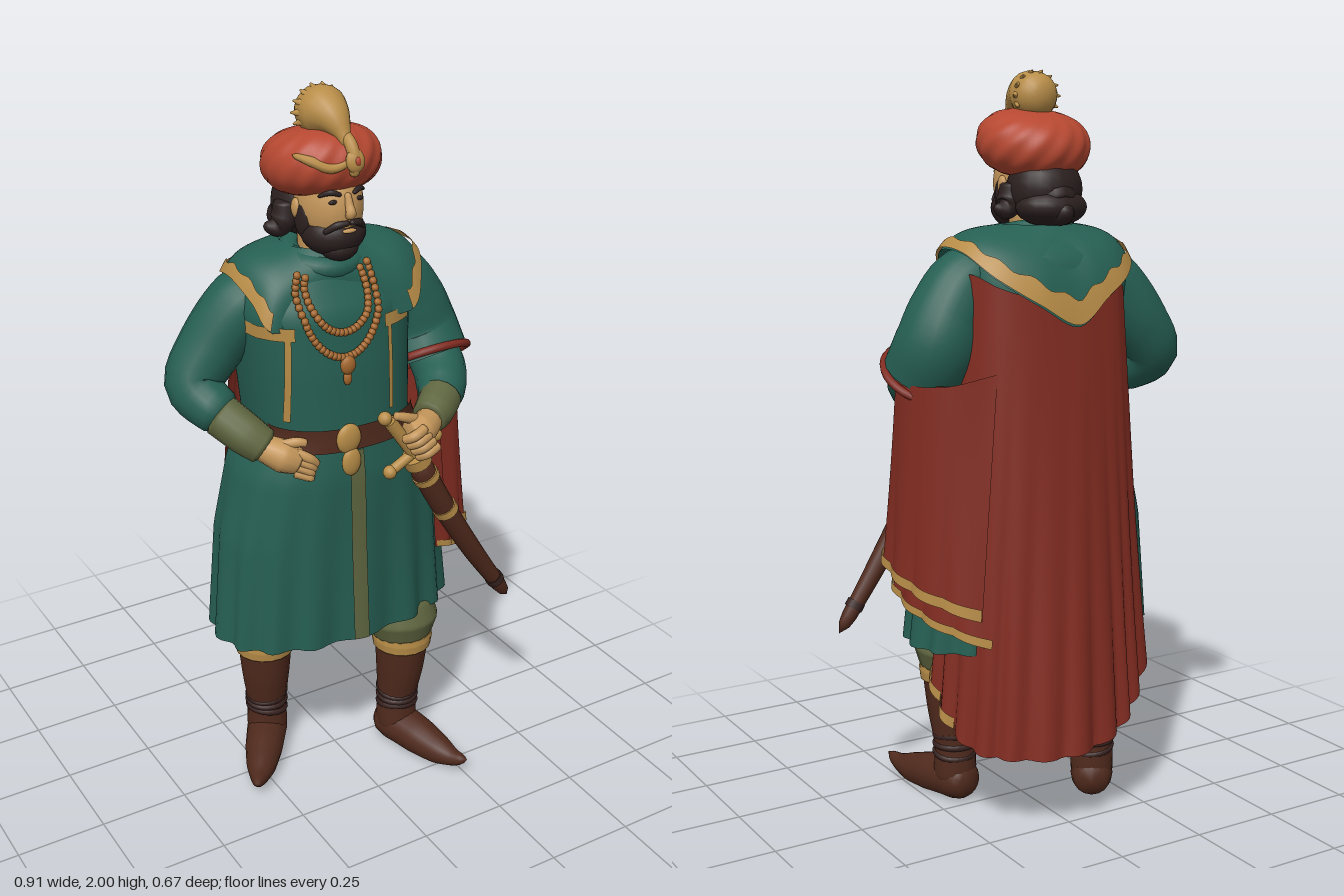
import * as THREE from 'three';
import { mergeVertices } from 'three/addons/utils/BufferGeometryUtils.js';

const V = (x, y, z) => new THREE.Vector3(x, y, z);
const paint = (name, color, side = THREE.FrontSide) => {
  const m = new THREE.MeshStandardMaterial({ color, side });
  m.name = name;
  return m;
};

export function createModel() {
  const D = THREE.DoubleSide;
  const teal = paint('teal cloth', 0x265f53, D), red = paint('red cloth', 0x822c21, D);
  const coral = paint('turban cloth', 0xb64831), gold = paint('gold trim', 0xb88d48, D);
  const skin = paint('skin', 0xc4965a), hair = paint('hair', 0x2c2020);
  const leather = paint('brown leather', 0x502a1d), dark = paint('dark leather', 0x382320, D);
  const olive = paint('olive cloth', 0x5f6640, D), amber = paint('amber beads', 0xa5682e);

  const root = new THREE.Group();
  root.name = 'robedSwordsman';
  let target = root;
  const add = (name, geo, mat) => {
    const m = new THREE.Mesh(geo, mat);
    m.name = name;
    target.add(m);
    return m;
  };
  const inGroup = (name, build) => {
    const g = new THREE.Group(), old = target;
    g.name = name;
    old.add(g);
    target = g;
    build(g);
    target = old;
  };
  const weld = g => {
    g.deleteAttribute('normal');
    g.deleteAttribute('uv');
    g = mergeVertices(g, 1e-5);
    g.computeVertexNormals();
    return g;
  };
  // surface from a rule f(u, v), v running downwards
  const sheet = (name, mat, nu, nv, f) => {
    const g = new THREE.PlaneGeometry(1, 1, nu, nv), p = g.attributes.position;
    for (let i = 0; i < p.count; i++) {
      const q = f((i % (nu + 1)) / nu, Math.floor(i / (nu + 1)) / nv);
      p.setXYZ(i, q.x, q.y, q.z);
    }
    return add(name, weld(g), mat);
  };
  // tube with a radius at each path point [x, y, z, r]
  const limb = (name, mat, pts, open = false, sides = 14, floor = -9) => {
    const curve = new THREE.CatmullRomCurve3(pts.map(p => V(p[0], p[1], p[2]))), n = 24;
    const g = new THREE.TubeGeometry(curve, n, 1, sides), p = g.attributes.position, q = V();
    for (let i = 0; i < p.count; i++) {
      const k = Math.floor(i / (sides + 1)), c = curve.getPointAt(k / n);
      const t = curve.getUtoTmapping(k / n) * (pts.length - 1);
      const a = Math.min(Math.floor(t), pts.length - 2);
      let r = THREE.MathUtils.lerp(pts[a][3], pts[a + 1][3], t - a);
      if (!open) r *= k % n === 0 ? 0 : (k === 1 || k === n - 1 ? 0.82 : 1);
      q.fromBufferAttribute(p, i).sub(c).multiplyScalar(r).add(c);
      p.setXYZ(i, q.x, Math.max(q.y, floor), q.z);
    }
    return add(name, weld(g), mat);
  };
  const ball = (name, mat, x, y, z, rx, ry = rx, rz = rx, seg = 18) => {
    const m = add(name, new THREE.SphereGeometry(1, seg, Math.ceil(seg * 0.7)), mat);
    m.position.set(x, y, z);
    m.scale.set(rx, ry, rz);
    return m;
  };
  const rod = (name, mat, a, b, r, r2 = r) => {
    const d = V(...b).sub(V(...a));
    const m = add(name, new THREE.CylinderGeometry(r2, r, d.length(), 14), mat);
    m.position.set(...a).addScaledVector(d, 0.5);
    m.quaternion.setFromUnitVectors(V(0, 1, 0), d.normalize());
  };

  // robe sections: y, centre x, centre z, half width, half depth
  const rings = [[1.6, -.045, 0, .085, .09], [1.56, -.04, -.02, .165, .13], [1.52, -.04, -.03, .225, .16],
    [1.45, -.04, -.02, .245, .19], [1.3, -.035, -.012, .23, .196], [1.12, -.025, -.01, .22, .2],
    [1.0, -.02, -.005, .28, .204], [.8, -.018, -.01, .323, .203], [.49, -.012, -.01, .352, .2]];
  const section = y => {
    let i = 0;
    while (i < rings.length - 2 && rings[i + 1][0] > y) i++;
    const a = rings[i], b = rings[i + 1], t = (a[0] - y) / (a[0] - b[0]);
    return a.map((v, k) => v + (b[k] - v) * t);
  };
  const square = .85;
  const bulge = (s, e = square) => Math.sign(s) * Math.abs(s) ** e;
  const body = (th, y, off = 0) => {
    const [, cx, cz, rx, rz] = section(y);
    const o = off + Math.max(0, 1.05 - y) * 0.018 * Math.cos(16 * th);
    return V(cx + (rx + o) * bulge(Math.sin(th)), y, cz + (rz + o) * bulge(Math.cos(th)));
  };
  const front = (x, y, off) => {
    const s = section(y);
    return body(Math.asin(bulge(THREE.MathUtils.clamp((x - s[1]) / s[3], -1, 1), 1 / square)), y, off);
  };
  const TAU = Math.PI * 2;
  inGroup('robe', () => {
    sheet('robeBody', teal, 96, 44, (u, v) => body(u * TAU, 1.6 - v * 1.11));
    sheet('robeUnderside', teal, 96, 2, (u, v) => body(u * TAU, .49 + v * .04).lerp(V(0, .53, 0), v));
    sheet('belt', leather, 32, 3, (u, v) => body((u - .5) * 2.5, 1.15 - v * .065, .012 * Math.sin(Math.PI * u) ** .3));
    const stripe = (name, mat, x0, y0, x1, y1, w) => sheet(name, mat, 4, 20, (u, v) =>
      front(x0 + (x1 - x0) * v + (u - .5) * w, y0 + (y1 - y0) * v, .007));
    stripe('skirtStripe', olive, -.05, 1.08, -.03, .495, .042);
    for (const s of [-1, 1]) {
      stripe('chestStripe', gold, -.075 + s * .135, 1.41, -.075 + s * .135, 1.17, .013);
      stripe('lapelBar', gold, -.075 + s * .165, 1.43, -.075 + s * .165, 1.395, .09);
    }
    const cowl = add('neckRoll', new THREE.TorusGeometry(.085, .03, 10, 28), teal);
    cowl.position.set(-.05, 1.57, .02);
    cowl.rotation.x = Math.PI / 2 + .2;
    ball('buckle', gold, -.075, 1.12, .2, .036, .042, .016);
    ball('buckleDrop', gold, -.07, 1.055, .206, .028, .04, .014);
  });

  // shoulder mantle with its gold border
  const edge = new THREE.CatmullRomCurve3([[.13, 1.42, .165], [.18, 1.49, .125], [.22, 1.535, .04], [.22, 1.53, -.08],
    [.18, 1.47, -.175], [.08, 1.4, -.23], [-.03, 1.345, -.24], [-.12, 1.41, -.23], [-.2, 1.46, -.2], [-.265, 1.505, -.12],
    [-.28, 1.52, -.03], [-.27, 1.48, .06], [-.25, 1.42, .12], [-.07, 1.45, .11]].map(p => V(...p)), true);
  const mantle = (u, t, off = 0) => {
    const e = edge.getPoint(u), th = Math.atan2(e.x + .045, e.z + .02), b = Math.sin(Math.PI * t);
    const p = V(-.045 + .1 * Math.sin(th), 1.6, -.01 + .1 * Math.cos(th)).lerp(e, t);
    const push = .025 * b + off;
    return p.add(V(Math.sin(th) * push, .015 * b + off, Math.cos(th) * push));
  };
  inGroup('mantle', () => {
    sheet('mantleCloth', teal, 84, 10, (u, v) => mantle(u, v));
    sheet('mantleBorder', gold, 96, 4, (u, v) => mantle(u * 12 / 14, .77 + .03 * Math.sin(u * 90) * (1 - v) + v * .23, .006));
  });

  // hanging cloth between a top and a bottom line, u up to u1
  const hang = (name, mat, top, bottom, folds, depth, v0 = 0, v1 = 1, off = 0, u1 = 1) => {
    const a = new THREE.CatmullRomCurve3(top.map(p => V(...p))), b = new THREE.CatmullRomCurve3(bottom.map(p => V(...p)));
    return sheet(name, mat, 80, 20, (s, v) => {
      const u = s * u1, t = v0 + (v1 - v0) * v, p = a.getPoint(u).lerp(b.getPoint(u), t);
      const d = V(p.x, 0, p.z + .02).normalize();
      return p.addScaledVector(d, off + depth * t * t * Math.abs(Math.sin(u * Math.PI * folds)));
    });
  };
  inGroup('cape', () => {
    const capeTop = [[.22, 1.46, -.02], [.21, 1.48, -.1], [.17, 1.45, -.17], [.09, 1.42, -.208], [-.03, 1.38, -.222], [-.11, 1.43, -.215], [-.17, 1.45, -.205], [-.2, 1.44, -.19]];
    const capeHem = [[.27, .4, .01], [.28, .3, -.09], [.25, .235, -.18], [.17, .22, -.26], [.03, .22, -.31], [-.12, .25, -.285], [-.2, .32, -.25], [-.285, .42, -.185]];
    hang('capeBack', red, capeTop, capeHem, 11, .022);
    hang('capeLining', dark, capeTop, capeHem, 11, .022, .6, .985, -.012);
    hang('capeHem', gold, capeTop, capeHem, 11, .022, .975, 1, .006, .2);
    const top = [[.26, 1.2, .1], [.34, 1.22, .07], [.36, 1.2, -.02], [.3, 1.2, -.12], [.18, 1.23, -.18]];
    const hem = [[.28, .74, .14], [.355, .71, .11], [.37, .67, 0], [.33, .63, -.11], [.24, .59, -.2]];
    const inner = top.map(([x, y, z]) => [x - .03, y, z]), lower = hem.map(([x, y, z]) => [x - .025, y - .075, z - .01]);
    hang('sleeveDrape', red, top, hem, 5, .012);
    hang('sleeveDrapeHem', gold, top, hem, 5, .012, .95, 1.0, .006);
    hang('innerDrape', red, inner, lower, 5, .012);
    hang('innerDrapeHem', gold, inner, lower, 5, .012, .965, 1, .006);
  });

  // arms
  inGroup('rightArm', () => {
    limb('sleeve', teal, [[-.15, 1.485, -.04, .085], [-.24, 1.44, -.055, .093], [-.328, 1.33, -.075, .086], [-.382, 1.24, -.065, .077], [-.335, 1.165, .04, .058]], false, 18);
    limb('cuff', olive, [[-.355, 1.185, .01, .058], [-.305, 1.135, .075, .055], [-.265, 1.1, .11, .048]]);
    limb('palm', skin, [[-.285, 1.11, .1, .034], [-.235, 1.085, .14, .045], [-.195, 1.065, .155, .035]]);
    for (let i = 0; i < 4; i++)
      limb('finger', skin, [[-.215, 1.1 - i * .02, .16, .014], [-.18, 1.08 - i * .018, .18, .014], [-.155 - i * .008, 1.055 - i * .012, .178, .011]], false, 8);
    limb('thumb', skin, [[-.25, 1.11, .13, .016], [-.205, 1.125, .16, .014], [-.18, 1.12, .17, .011]], false, 8);
  });
  inGroup('leftArm', () => {
    limb('wideSleeve', teal, [[.08, 1.48, -.02, .085], [.175, 1.45, -.01, .095], [.23, 1.37, -.01, .106], [.258, 1.29, -.005, .115], [.268, 1.215, .035, .117]], true, 20);
    const trim = add('sleeveTrim', new THREE.TorusGeometry(.117, .011, 8, 32), red);
    trim.position.set(.268, 1.215, .035);
    trim.quaternion.setFromUnitVectors(V(0, 0, 1), V(0, -.83, .56).normalize());
    limb('forearm', teal, [[.28, 1.27, -.01, .07], [.285, 1.2, .07, .074], [.25, 1.165, .14, .067], [.2, 1.145, .19, .05]], false, 16);
    limb('cuff', olive, [[.235, 1.16, .165, .057], [.185, 1.14, .205, .054], [.15, 1.13, .225, .046]]);
    limb('palm', skin, [[.165, 1.13, .22, .035], [.115, 1.12, .248, .044], [.07, 1.12, .25, .034]]);
    for (let i = 0; i < 4; i++)
      limb('finger', skin, [[.11 + i * .014, 1.14 - i * .02, .28, .014], [.07 + i * .014, 1.125 - i * .02, .285, .014], [.05 + i * .014, 1.11 - i * .02, .262, .012]], false, 8);
    limb('thumb', skin, [[.11, 1.145, .24, .016], [.065, 1.165, .245, .014], [.035, 1.175, .24, .011]], false, 8);
  });

  // sword in its scabbard
  inGroup('sword', () => {
    limb('scabbard', leather, [[.11, 1.035, .23, .034], [.2, .87, .23, .032], [.32, .68, .22, .028], [.4, .565, .213, .023], [.457, .485, .21, .019]]);
    rod('scabbardThroat', gold, [.108, 1.04, .232], [.122, 1.012, .232], .038);
    rod('scabbardBand', gold, [.142, .975, .231], [.152, .958, .231], .037);
    rod('scabbardBand', gold, [.208, .858, .23], [.22, .838, .23], .035);
    rod('scabbardTip', dark, [.4, .567, .213], [.412, .549, .213], .026);
    rod('grip', gold, [.105, 1.045, .235], [.025, 1.16, .235], .018);
    rod('guard', gold, [.03, 1.01, .235], [.17, 1.085, .235], .014);
    for (const [x, y] of [[.03, 1.01], [.17, 1.085], [.012, 1.17]]) ball('swordKnob', gold, x, y, .235, .019, .019, .019, 12);
  });

  // head
  inGroup('head', () => {
    const X = -.045;
    rod('neck', skin, [X, 1.54, .01], [X, 1.68, .02], .065);
    ball('face', skin, X, 1.705, .045, .084, .115, .103, 24);
    limb('nose', skin, [[X, 1.755, .138, .008], [X, 1.725, .148, .011], [X, 1.705, .155, .014], [X, 1.695, .14, .009]], false, 10);
    ball('beard', hair, X, 1.638, .07, .084, .06, .08, 22);
    ball('chinBeard', hair, X, 1.605, .1, .05, .035, .045);
    ball('hairBack', hair, X, 1.69, -.045, .104, .095, .095, 20);
    ball('hairNape', hair, X, 1.645, -.08, .1, .052, .08, 20);
    ball('lips', skin, X, 1.66, .149, .02, .006, .008, 12);
    for (const s of [-1, 1]) {
      limb('moustache', hair, [[X, 1.681, .152, .007], [X + s * .03, 1.676, .142, .01], [X + s * .058, 1.655, .12, .007]], false, 8);
      limb('eyebrow', hair, [[X + s * .016, 1.75, .139, .005], [X + s * .04, 1.757, .128, .008], [X + s * .066, 1.746, .107, .004]], false, 8);
      ball('eye', hair, X + s * .036, 1.734, .133, .014, .006, .005, 10);
      ball('ear', skin, X + s * .084, 1.7, .03, .011, .026, .018, 12);
      ball('sideburn', hair, X + s * .072, 1.675, .045, .018, .05, .035, 12);
      limb('sideCurl', hair, [[X + s * .085, 1.71, -.02, .03], [X + s * .092, 1.66, -.02, .036], [X + s * .108, 1.64, -.025, .03], [X + s * .145, 1.645, -.03, .008]], false, 10);
    }
    limb('napeCurl', hair, [[X, 1.66, -.1, .06], [X, 1.635, -.135, .04], [X, 1.635, -.17, .01]], false, 12);
  });

  // turban with its jewel and plume
  inGroup('turban', g => {
    g.position.set(-.045, 1.808, .01);
    g.rotation.x = -.2;
    sheet('turbanWrap', coral, 72, 28, (u, v) => {
      const f = v * Math.PI, th = u * TAU, s = Math.pow(Math.max(Math.sin(f), 0), .65);
      const r = s * (.152 + .0022 * Math.sin(14 * th + 6 * f));
      return V(r * Math.sin(th), .086 * Math.cos(f), r * Math.cos(th));
    });
    limb('jewelChain', gold, [[0, 0, .15, .01], [-.05, -.012, .14, .012], [-.095, .012, .117, .012], [-.125, .03, .085, .006]], false, 8);
    limb('jewelBand', gold, [[.005, -.04, .146, .012], [.005, 0, .158, .016], [.003, .04, .148, .016], [0, .075, .115, .013]], false, 10);
    ball('jewel', gold, .006, 0, .158, .026, .03, .016, 12);
    ball('jewelStone', coral, .006, 0, .172, .008, .011, .005, 10);
  });
  inGroup('plume', () => {
    limb('plumeBody', gold, [[-.042, 1.86, .14, .012], [-.047, 1.895, .12, .02], [-.052, 1.925, .085, .044], [-.055, 1.936, .045, .063], [-.055, 1.93, 0, .06], [-.055, 1.925, -.04, .03]], false, 18);
    for (let i = 0; i < 14; i++) {
      const a = i / 14 * TAU, c = Math.cos(a), s = Math.sin(a);
      rod('plumeTuft', gold, [-.055 + .045 * c, 1.935 + .045 * s, .03], [-.055 + .072 * c, 1.932 + .067 * s, .005], .016, .002);
    }
  });

  // bead necklaces
  inGroup('necklaces', () => {
    const strand = (half, mid, drop, n) => {
      for (let i = 0; i <= n; i++) {
        const a = (i / n - .5) * Math.PI * 1.25;
        const p = front(-.075 + half * Math.sin(a), mid - drop * Math.cos(a), .01);
        ball('bead', amber, p.x, p.y, Math.max(p.z, .12), .0105, .0105, .0105, 8);
      }
    };
    strand(.103, 1.5, .155, 38);
    strand(.08, 1.51, .1, 28);
    ball('pendant', amber, -.075, 1.325, .195, .022, .026, .014, 12);
    ball('pendantDrop', amber, -.075, 1.288, .193, .012, .02, .01, 10);
  });

  // legs with curled-toe boots
  for (const [name, x, z, yaw] of [['leftLeg', .175, .075, .27], ['rightLeg', -.175, -.1, -.6]]) inGroup(name, g => {
    g.position.set(x, 0, z);
    g.rotation.y = yaw;
    limb('breeches', olive, [[0, .53, 0, .07], [0, .5, 0, .09], [0, .44, .005, .106], [0, .375, .01, .082]], false, 18);
    limb('breechesCuff', gold, [[0, .4, .01, .086], [0, .375, .01, .088], [0, .345, .01, .084]], false, 18);
    limb('bootShaft', leather, [[0, .385, .01, .08], [0, .27, .005, .07], [0, .16, -.005, .057], [0, .08, -.005, .06], [0, .03, 0, .055]], false, 18);
    for (let i = 0; i < 3; i++) {
      const w = add('ankleFold', new THREE.TorusGeometry(.053, .01, 8, 22), dark);
      w.position.set(0, .135 + i * .024, -.004);
      w.rotation.set(Math.PI / 2 + (i - 1) * .14, (i - 1) * .1, 0);
    }
    limb('bootFoot', leather, [[0, .05, -.075, .045], [0, .055, -.01, .06], [0, .045, .09, .055], [0, .036, .17, .042], [0, .038, .225, .024], [0, .055, .272, .01]], false, 16, 0);
  });

  return root;
}
